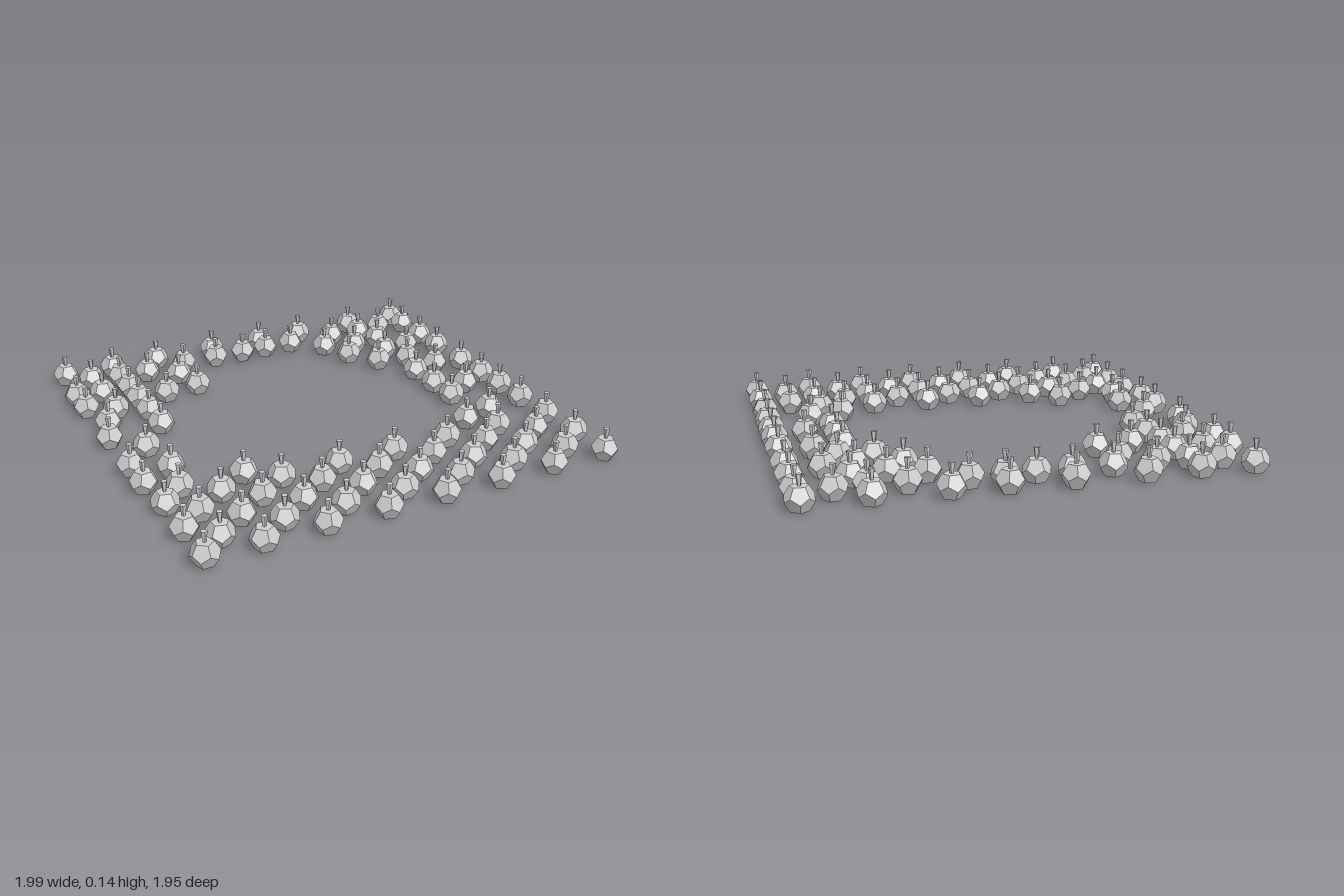
import * as THREE from 'three';

const BODY_HEIGHT = 0.097;
const STEM_BASE = 0.093;
const STEM_TOP = 0.142;

// Side strips: pumpkins sharing one x, spread along z
const COLUMNS = [
  { x: 0.94, zs: [-0.795, -0.61, -0.44, -0.21, -0.03, 0.125, 0.295] },
  { x: 0.8, zs: [-0.82, -0.52, -0.235, 0.04] },
  { x: 0.665, zs: [-0.8, -0.51, -0.2, -0.03, 0.125] },
  { x: -0.675, zs: [-0.795, -0.65, -0.51, -0.36, -0.2] },
  { x: -0.81, zs: [-0.82, -0.645, -0.44, -0.015, 0.385] },
  { x: -0.93, zs: [-0.66, -0.51, -0.16, 0.125, 0.295] },
];

// Second row from the back
const BACK_ROW = { z: -0.81, xs: [-0.335, -0.16, -0.01, 0.12, 0.265, 0.51] };

// Pumpkins strayed from the rows, mostly round the inner edge
const STRAYS = [
  [-0.535, -0.785], [-0.405, -0.69], [0.405, -0.69], [0.56, -0.645], [0.71, -0.67],
  [-0.535, -0.51], [-0.37, -0.53], [0.47, -0.54], [0.565, -0.4], [0.715, -0.37],
  [-0.885, -0.315], [-0.78, 0.21], [-0.53, 0.395], [0.58, 0.38], [0.735, 0.33],
];

// x of a planting column, 0 to 14
const gridX = (k) => Math.max(-0.91, -0.94 + 0.134 * k);

export function createModel() {
  const model = new THREE.Group();
  model.name = 'pumpkinPatch';
  const material = new THREE.MeshStandardMaterial({ color: 0xcccccc, flatShading: true });

  // Body: a dodecahedron turned to rest on one of its faces
  const bodyGeometry = new THREE.DodecahedronGeometry(BODY_HEIGHT / (2 * 0.7947));
  bodyGeometry.rotateX(-Math.atan(2 / (1 + Math.sqrt(5))));
  bodyGeometry.translate(0, BODY_HEIGHT / 2, 0);

  // Stem: a short five-sided stalk, wider at its cut end
  const stemGeometry = new THREE.CylinderGeometry(0.014, 0.007, STEM_TOP - STEM_BASE, 5);
  stemGeometry.translate(0, (STEM_TOP + STEM_BASE) / 2, 0);

  function addPumpkin(x, z) {
    const pumpkin = new THREE.Group();
    pumpkin.name = 'pumpkin';
    const body = new THREE.Mesh(bodyGeometry, material);
    body.name = 'body';
    const stem = new THREE.Mesh(stemGeometry, material);
    stem.name = 'stem';
    pumpkin.add(body, stem);
    pumpkin.position.set(x, 0, z);
    pumpkin.rotation.y = model.children.length * 2.4; // vary the turn
    model.add(pumpkin);
  }

  // Front field: five staggered rows
  for (let row = 0; row < 5; row++) {
    for (let k = row % 2; k < 15; k += 2) addPumpkin(gridX(k), 0.91 - 0.104 * row);
  }

  // Rearmost row: two of its pumpkins sit a little to one side
  for (let k = 0; k < 15; k += 2) {
    const shift = Math.abs(k - 7) === 3 ? 0.037 : 0;
    addPumpkin(gridX(k) - shift, -0.92);
  }

  BACK_ROW.xs.forEach((x) => addPumpkin(x, BACK_ROW.z));
  COLUMNS.forEach(({ x, zs }) => zs.forEach((z) => addPumpkin(x, z)));
  STRAYS.forEach(([x, z]) => addPumpkin(x, z));

  return model;
}
